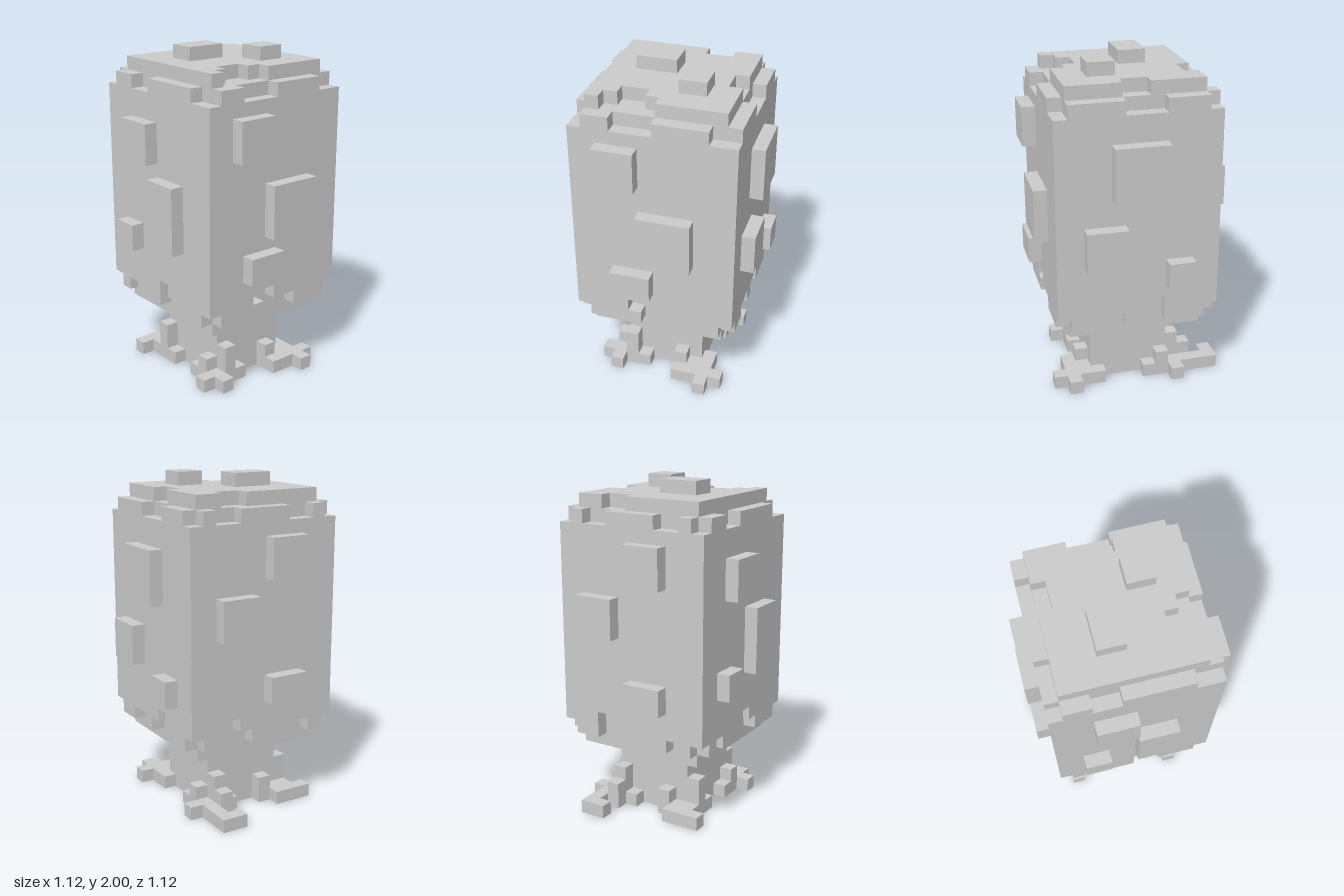
import * as THREE from 'three';

const U = 0.08; // one voxel

export function createModel() {
  const model = new THREE.Group();
  const mat = new THREE.MeshStandardMaterial({ color: 0xcccccc, flatShading: true });

  // Box between two corners given in voxels
  function box(parent, name, x0, x1, y0, y1, z0, z1) {
    const g = new THREE.BoxGeometry((x1 - x0) * U, (y1 - y0) * U, (z1 - z0) * U);
    g.translate((x0 + x1) * U / 2, (y0 + y1) * U / 2, (z0 + z1) * U / 2);
    const m = new THREE.Mesh(g, mat);
    m.name = name;
    parent.add(m);
  }
  function group(name) {
    const g = new THREE.Group();
    g.name = name;
    model.add(g);
    return g;
  }
  // Box on one side of the crown: a..b along the side, d0..d1 outwards
  function sideBox(parent, name, side, a, b, y0, y1, d0, d1) {
    if (side === 'front') box(parent, name, a, b, y0, y1, d0, d1);
    if (side === 'back') box(parent, name, a, b, y0, y1, -d1, -d0);
    if (side === 'left') box(parent, name, d0, d1, y0, y1, a, b);
    if (side === 'right') box(parent, name, -d1, -d0, y0, y1, a, b);
  }

  // Crown: wide block over a narrower core
  const crown = group('crown');
  box(crown, 'crownBlock', -6, 6, 8, 22, -6, 6);
  box(crown, 'crownUnderside', -5, 5, 5, 8, -5, 5);
  box(crown, 'crownShoulder', -5, 5, 22, 23, -5, 5);

  // Top slab with notched edges (shape y becomes -z)
  const outline = [[-5, 5], [-4, 5], [-4, 4], [-3, 4], [-3, 3], [-1, 3], [-1, 4], [0, 4], [0, 5], [5, 5],
    [5, 1], [4, 1], [4, -1], [5, -1], [5, -5], [3, -5], [3, -4], [1, -4], [1, -5], [-5, -5]];
  const slab = new THREE.ExtrudeGeometry(
    new THREE.Shape(outline.map(([x, z]) => new THREE.Vector2(x * U, -z * U))),
    { depth: U, bevelEnabled: false });
  slab.rotateX(-Math.PI / 2).translate(0, 23 * U, 0);
  const top = new THREE.Mesh(slab, mat);
  top.name = 'crownTop';
  crown.add(top);

  // Ragged upper and lower rims: runs [from, to] per level
  const rims = {
    front: { 22: [[-5, -3], [0, 4]], 7: [[-6, -2], [0, 6]], 6: [[-5, -1], [2, 5]] },
    back: { 22: [[-5, -4], [-2, 2], [4, 5]], 7: [[-6, 2], [3, 6]], 6: [[-5, -4], [-3, 1], [3, 5]] },
    left: { 22: [[-5, -2], [1, 5]], 7: [[-5, -2], [-1, 5]], 6: [[-5, -2], [0, 1], [3, 5]] },
    right: { 22: [[-5, -3], [-1, 4]], 7: [[-5, 0], [1, 5]], 6: [[-5, -4], [-3, 0], [2, 5]] },
  };
  const rim = group('crownRims');
  for (const side in rims)
    for (const y in rims[side])
      for (const [a, b] of rims[side][y]) sideBox(rim, side + 'Rim', side, a, b, +y, +y + 1, 5, 6);

  // Raised patches on the sides: [from, to, bottom, top]
  const patches = {
    front: [[-4, -1, 18, 21], [-1, 3, 12, 16], [-3, 0, 9, 11]],
    back: [[-3, 0, 18, 21], [1, 4, 14, 17], [-3, 0, 9, 11]],
    left: [[-2, 2, 16, 20], [1, 4, 11, 14], [-4, -2, 9, 11]],
    right: [[-3, 0, 17, 20], [0, 3, 11, 16], [-4, -2, 10, 12]],
  };
  const tufts = group('leafPatches');
  for (const side in patches)
    for (const [a, b, y0, y1] of patches[side]) sideBox(tufts, side + 'Patch', side, a, b, y0, y1, 6, 7);
  box(tufts, 'topPatch', -3, 0, 24, 25, -2, 0);
  box(tufts, 'topPatch', 1, 3, 24, 25, 1, 3);

  // Trunk
  const trunk = group('trunk');
  box(trunk, 'trunkColumn', -3, 3, 0, 5, -3, 3);

  // Roots: [x0, x1, z0, z1, height]
  const roots = {
    frontLeftRoot: [[1, 2, 3, 4, 2], [2, 4, 3, 4, 1], [1, 4, 4, 5, 1], [3, 4, 5, 6, 1], [4, 5, 4, 5, 1], [3, 4, 2, 3, 1]],
    frontRightRoot: [[-3, -2, 3, 4, 3], [-2, -1, 3, 4, 1], [-4, -3, 3, 4, 1], [-4, -3, 2, 3, 2], [-5, -4, 3, 4, 1],
      [-4, -3, 1, 2, 1], [-4, -3, 4, 5, 1]],
    backLeftRoot: [[2, 3, -4, -3, 3], [2, 3, -5, -4, 2], [1, 2, -4, -3, 1], [3, 4, -3, -2, 2], [3, 4, -2, -1, 1],
      [3, 4, -6, -3, 1], [2, 4, -7, -6, 1], [4, 5, -4, -3, 1]],
    backRightRoot: [[-2, -1, -4, -3, 2], [-3, -2, -4, -3, 1], [-4, -3, -4, -3, 1], [-5, -2, -5, -4, 1],
      [-4, -3, -3, -2, 3], [-4, -3, -2, -1, 1]],
  };
  for (const name in roots) {
    const root = group(name);
    for (const [x0, x1, z0, z1, h] of roots[name]) box(root, name + 'Step', x0, x1, 0, h, z0, z1);
  }
  return model;
}
